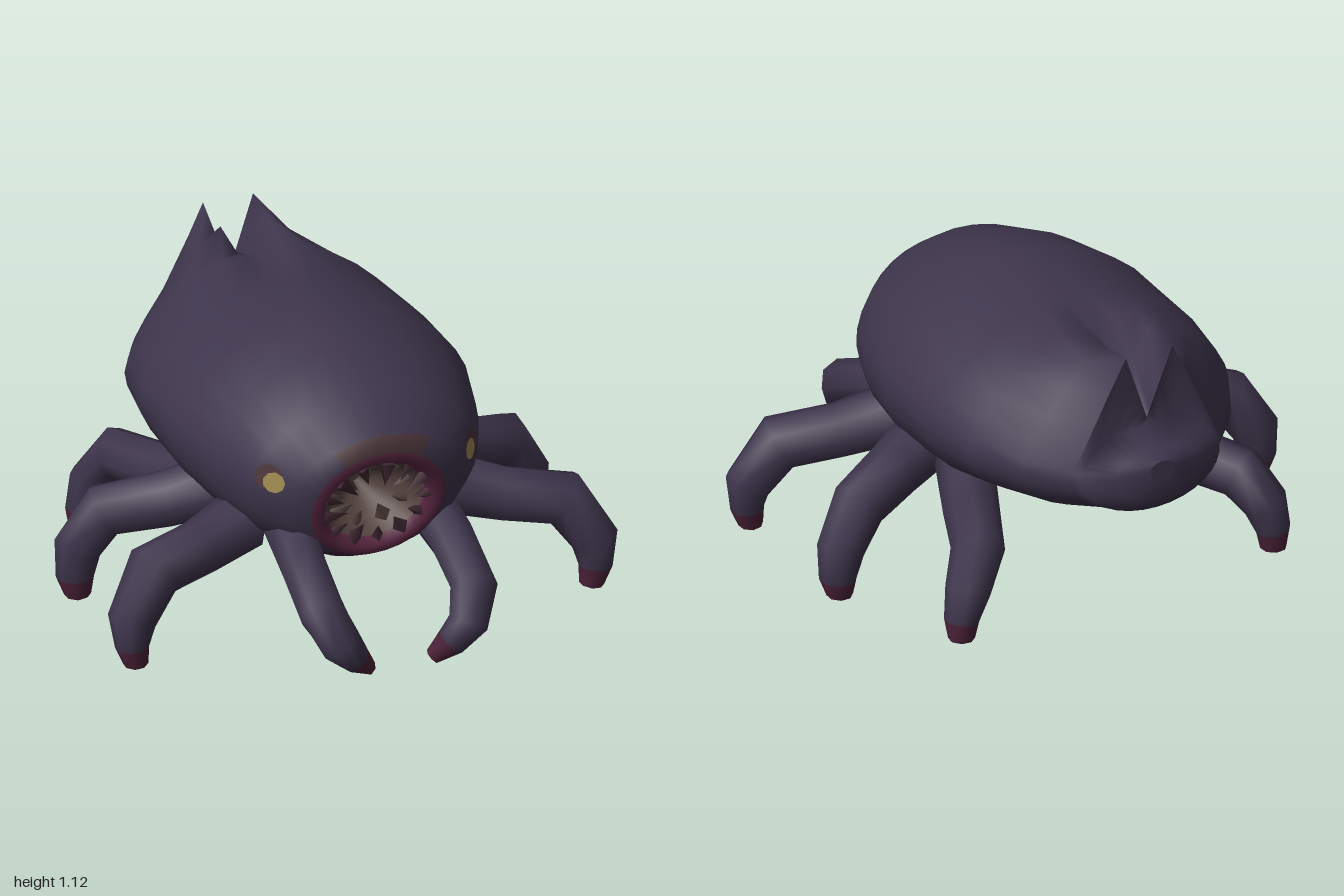
import * as THREE from 'three';

const mat = (name, color) => {
  const m = new THREE.MeshStandardMaterial({ color });
  m.name = name;
  return m;
};

// Skin a list of point rings; pick(i, j) gives the material index of a face.
function loft(rings, pick) {
  const n = rings[0].length, pos = [], buckets = [];
  const face = (m, ...ids) => (buckets[m] ??= []).push(...ids);
  rings.forEach((r) => r.forEach((p) => pos.push(p.x, p.y, p.z)));
  for (let i = 0; i < rings.length - 1; i++) {
    for (let j = 0; j < n; j++) {
      const k = (j + 1) % n, p = i * n + j, q = i * n + k;
      face(pick(i, j), p, p + n, q, q, p + n, q + n);
    }
  }
  // Caps use their own vertices so that the edge stays sharp.
  const cap = (ring, flip, m) => {
    const base = pos.length / 3;
    const c = ring.reduce((s, p) => s.add(p), new THREE.Vector3()).divideScalar(n);
    [...ring, c].forEach((p) => pos.push(p.x, p.y, p.z));
    for (let j = 0; j < n; j++) {
      const a = base + j, b = base + (j + 1) % n;
      if (flip) face(m, base + n, b, a); else face(m, base + n, a, b);
    }
  };
  cap(rings[0], false, pick(0, 0));
  cap(rings.at(-1), true, pick(rings.length - 2, 0));
  const g = new THREE.BufferGeometry(), index = [];
  buckets.forEach((b, m) => {
    g.addGroup(index.length, b.length, m);
    index.push(...b);
  });
  g.setAttribute('position', new THREE.Float32BufferAttribute(pos, 3));
  g.setIndex(index);
  g.computeVertexNormals();
  return g;
}

// Shell ring: half width w, widest at ym, from yb up to yt, leaning in z by shear.
// power flattens the upper flanks; valley cuts a groove along the middle of the back.
function shellRing([z, w, ym, yt, yb, shear = 0, power = 1, valley = 0]) {
  return Array.from({ length: 32 }, (_, j) => {
    const a = (j / 32) * Math.PI * 2, s = Math.sin(a), c = Math.cos(a);
    const e = s > 0 ? power : 1;
    const x = w * Math.sign(c) * Math.abs(c) ** e;
    let dy = s > 0 ? (yt - ym) * s ** e : (ym - yb) * s;
    if (s > 0) dy -= valley * Math.max(0, 1 - Math.abs(x) / 0.1);
    return new THREE.Vector3(x, ym + dy, z + dy * shear);
  });
}

export function createModel() {
  const model = new THREE.Group();
  const hide = mat('dark purple hide', 0x3e354c);
  const maroon = mat('maroon', 0x4c2239);
  const belly = mat('belly plum', 0x43233a);
  const lip = mat('lip', 0x592642);
  const throat = mat('throat brown', 0x54423e);
  const toothMat = mat('tooth', 0x3d2630);
  const brown = mat('brown markings', 0x493438);
  const yellow = mat('eye yellow', 0x9c864e);
  const add = (name, geometry, material, parent = model) => {
    const m = new THREE.Mesh(geometry, material);
    m.name = name;
    parent.add(m);
    return m;
  };

  // Body: throat, lips, shell and twin back crests in one skin, from mouth to tail
  const crestEnd = [-0.84, 0.32, 0.66, 1.34, 0.47, -0.06, 2, 0.5];
  const stations = [
    [0.38, 0.02, 0.56, 0.58, 0.54, 0.25],
    [0.50, 0.15, 0.56, 0.69, 0.43, 0.25],
    [0.59, 0.195, 0.56, 0.725, 0.395, 0.25],
    [0.63, 0.22, 0.56, 0.75, 0.365, 0.25],
    [0.625, 0.265, 0.56, 0.79, 0.33, 0.25],
    [0.59, 0.35, 0.59, 0.86, 0.295, 0.3],
    [0.47, 0.455, 0.63, 0.96, 0.27, 0.2, 1.05],
    [0.30, 0.525, 0.66, 1.05, 0.27, 0, 1.1],
    [0.04, 0.59, 0.69, 1.10, 0.29, 0, 1.17],
    [-0.27, 0.59, 0.69, 1.05, 0.33, 0, 1.12],
    [-0.50, 0.555, 0.68, 1.11, 0.40, 0, 1.25, 0.09],
    [-0.70, 0.45, 0.67, 1.17, 0.43, 0, 1.6, 0.25],
    crestEnd, crestEnd, // doubled for a sharp edge
    [-0.875, 0.295, 0.66, 0.80, 0.50, 0.33],
    [-0.935, 0.18, 0.67, 0.745, 0.54, 0.2],
    [-0.965, 0.05, 0.68, 0.71, 0.62],
  ];
  const body = add('body', loft(stations.map(shellRing), (i, j) => {
    if (i < 2) return 1;
    if (i < 4) return 2;
    if (i === 4 && j > 4 && j < 11) return 3;
    if (i < 8 && j > 20 && j < 27) return 4;
    return 0;
  }), [hide, throat, lip, brown, belly]);

  // Teeth: two rows leaning in over the throat
  const teeth = new THREE.Group();
  teeth.name = 'teeth';
  model.add(teeth);
  const toothGeo = new THREE.ConeGeometry(0.034, 0.09, 4).translate(0, 0.04, 0);
  [[0.2, 0.60, 13, 0, toothMat], [0.155, 0.52, 9, 0.3, throat]].forEach(([r, z, count, turn, material]) => {
    for (let i = 0; i < count; i++) {
      const a = turn + (i / count) * Math.PI * 2, c = Math.cos(a), s = Math.sin(a);
      const t = add('tooth', toothGeo, material, teeth);
      t.position.set(r * c, 0.56 + 0.85 * r * s, z + 0.25 * r * s);
      t.quaternion.setFromUnitVectors(new THREE.Vector3(0, 1, 0),
        new THREE.Vector3(-c, -s, 0.3 - 0.25 * s).normalize());
      t.scale.setScalar(i % 2 ? 1 : 0.75);
    }
  });

  // Legs: joint positions and radii, hip to foot, for the model's left side
  const legs = {
    frontLeg: [[0.27, 0.44, 0.38, 0.10], [0.295, 0.36, 0.62, 0.09], [0.30, 0.26, 0.82, 0.09],
      [0.25, 0.15, 0.89, 0.08], [0.19, 0.075, 0.87, 0.058], [0.13, 0.01, 0.845, 0.035]],
    secondLeg: [[0.40, 0.42, 0.29, 0.12], [0.60, 0.37, 0.36, 0.105], [0.81, 0.345, 0.43, 0.11],
      [0.915, 0.18, 0.475, 0.09], [0.915, 0.075, 0.48, 0.063], [0.90, 0, 0.48, 0.047]],
    thirdLeg: [[0.40, 0.45, 0.04, 0.125], [0.58, 0.39, -0.02, 0.11], [0.79, 0.34, -0.11, 0.105],
      [0.885, 0.19, -0.14, 0.09], [0.895, 0.075, -0.138, 0.07], [0.885, 0, -0.135, 0.05]],
    rearLeg: [[0.34, 0.43, -0.10, 0.11], [0.45, 0.325, -0.35, 0.105], [0.56, 0.315, -0.58, 0.10],
      [0.635, 0.19, -0.635, 0.085], [0.665, 0.075, -0.64, 0.065], [0.665, 0, -0.64, 0.05]],
  };
  const legGeometry = (joints, side) => {
    const pts = joints.map(([x, y, z]) => new THREE.Vector3(x * side, y, z));
    const across = new THREE.Vector3(pts[3].z - pts[0].z, 0, pts[0].x - pts[3].x).normalize();
    const rings = pts.map((p, i) => {
      const t = pts[Math.min(i + 1, 5)].clone().sub(pts[Math.max(i - 1, 0)]).normalize();
      const u = across.clone().addScaledVector(t, -across.dot(t)).normalize();
      const v = u.clone().cross(t);
      return Array.from({ length: 8 }, (_, j) => {
        const a = (j / 8) * Math.PI * 2, r = joints[i][3];
        const q = p.clone().addScaledVector(u, r * Math.cos(a)).addScaledVector(v, r * Math.sin(a));
        q.y = Math.max(q.y, 0);
        return q;
      });
    });
    return loft(rings, (i) => (i === 4 ? 1 : 0));
  };

  const ray = new THREE.Raycaster();
  const forward = new THREE.Vector3(0, 0, 1);
  for (const side of [1, -1]) {
    const label = side > 0 ? 'Left' : 'Right';
    for (const [name, joints] of Object.entries(legs)) {
      add(name + label, legGeometry(joints, side), [hide, maroon]);
    }

    // Eyes: thin plates laid on the shell, yellow over a brown smudge
    const plate = (name, x, y, w, h, lift, material) => {
      ray.set(new THREE.Vector3(x * side, y, 2), new THREE.Vector3(0, 0, -1));
      const hit = ray.intersectObject(body)[0];
      const p = add(name + label, new THREE.CircleGeometry(1, 9), material);
      p.scale.set(w, h, 1);
      p.position.copy(hit.point).addScaledVector(hit.face.normal, lift);
      p.quaternion.setFromUnitVectors(forward, hit.face.normal);
    };
    plate('eyeSmudge', 0.395, 0.70, 0.06, 0.05, 0.006, brown);
    plate('eye', 0.38, 0.685, 0.046, 0.04, 0.010, yellow);
  }
  return model;
}
